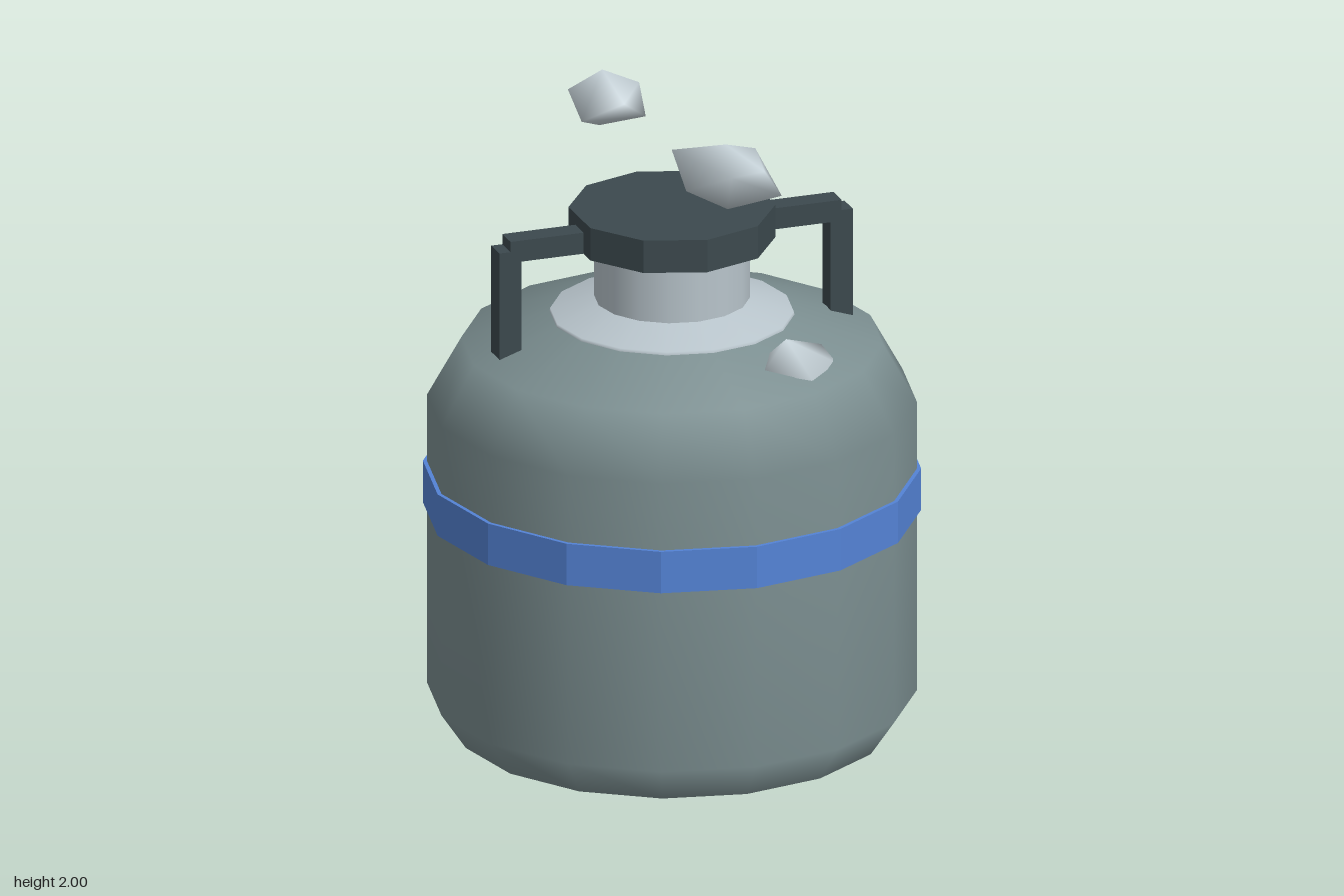
import * as THREE from 'three';
import { mergeVertices } from 'three/addons/utils/BufferGeometryUtils.js';
import { ConvexGeometry } from 'three/addons/geometries/ConvexGeometry.js';

const material = (name, color, extra = {}) => {
  const m = new THREE.MeshStandardMaterial({ color, ...extra });
  m.name = name;
  return m;
};

export function createModel() {
  const steel = material('grey green steel', 0x7b8e90);
  const darkMetal = material('dark metal', 0x3c494e, { flatShading: true });
  const blue = material('blue strap', 0x5483d6, { flatShading: true });
  const pale = material('pale frost', 0xb8c4cb);
  const ice = material('ice', 0xc6d2d8);

  const model = new THREE.Group();
  model.name = 'flask';
  const add = (name, geometry, mat, x = 0, y = 0, z = 0) => {
    const mesh = new THREE.Mesh(geometry, mat);
    mesh.name = name;
    mesh.position.set(x, y, z);
    model.add(mesh);
    return mesh;
  };
  const lathe = (profile) =>
    new THREE.LatheGeometry(profile.map(([r, y]) => new THREE.Vector2(r, y)), 16);

  // Body with chamfered foot and shoulder
  add('body', lathe([[0.635, 0], [0.71, 0.11], [0.71, 1.0], [0.61, 1.18], [0.22, 1.31]]), steel);
  add('base', new THREE.CircleGeometry(0.635, 16).rotateX(Math.PI / 2), steel);

  // Strap around the middle
  add('strap', lathe([[0.705, 0.667], [0.722, 0.667], [0.722, 0.795], [0.705, 0.795]]), blue);

  // Frosted collar and neck
  add('frostCollar', lathe([[0.355, 1.265], [0.353, 1.274], [0.22, 1.318]]), pale);
  add('neck', new THREE.CylinderGeometry(0.226, 0.226, 0.22, 16, 1, true), pale, 0, 1.4, 0);

  // Ten-sided lid
  add('lid', new THREE.CylinderGeometry(0.3, 0.3, 0.1, 10), darkMetal, 0, 1.545, 0);

  // Mirrored handles
  for (const [side, s] of [['left', 1], ['right', -1]]) {
    add(side + 'HandleArm', new THREE.BoxGeometry(0.27, 0.065, 0.07), darkMetal, s * 0.375, 1.528, 0);
    add(side + 'HandlePost', new THREE.BoxGeometry(0.068, 0.33, 0.07), darkMetal, s * 0.51, 1.364, 0);
  }

  // Ice chunks: convex lumps with softened shading
  const chunk = (name, points) => {
    let g = new ConvexGeometry(points.map((p) => new THREE.Vector3(...p)));
    g.deleteAttribute('normal');
    g = mergeVertices(g);
    g.computeVertexNormals();
    add(name, g, ice);
  };
  chunk('upperIceChunk', [
    [-0.27, 1.94, -0.14], [-0.26, 1.87, -0.05], [-0.14, 1.92, -0.02],
    [-0.07, 1.87, -0.03], [-0.065, 1.95, -0.1], [-0.14, 1.93, -0.22],
    [-0.22, 1.87, -0.235], [-0.175, 2.0, -0.11], [-0.18, 1.825, -0.12],
  ]);
  chunk('lowerIceChunk', [
    [-0.03, 1.8, 0.08], [-0.025, 1.71, 0.19], [0.08, 1.77, 0.285],
    [0.18, 1.78, 0.29], [0.24, 1.69, 0.27], [0.23, 1.7, 0.08],
    [0.22, 1.78, 0.1], [0.08, 1.7, 0.07], [0.1, 1.835, 0.18], [0.11, 1.63, 0.17],
  ]);
  chunk('shoulderIceChunk', [
    [0.115, 1.22, 0.45], [0.15, 1.23, 0.36], [0.24, 1.25, 0.305],
    [0.34, 1.24, 0.33], [0.365, 1.2, 0.39], [0.25, 1.2, 0.505],
    [0.21, 1.293, 0.39], [0.24, 1.16, 0.4],
  ]);

  return model;
}
